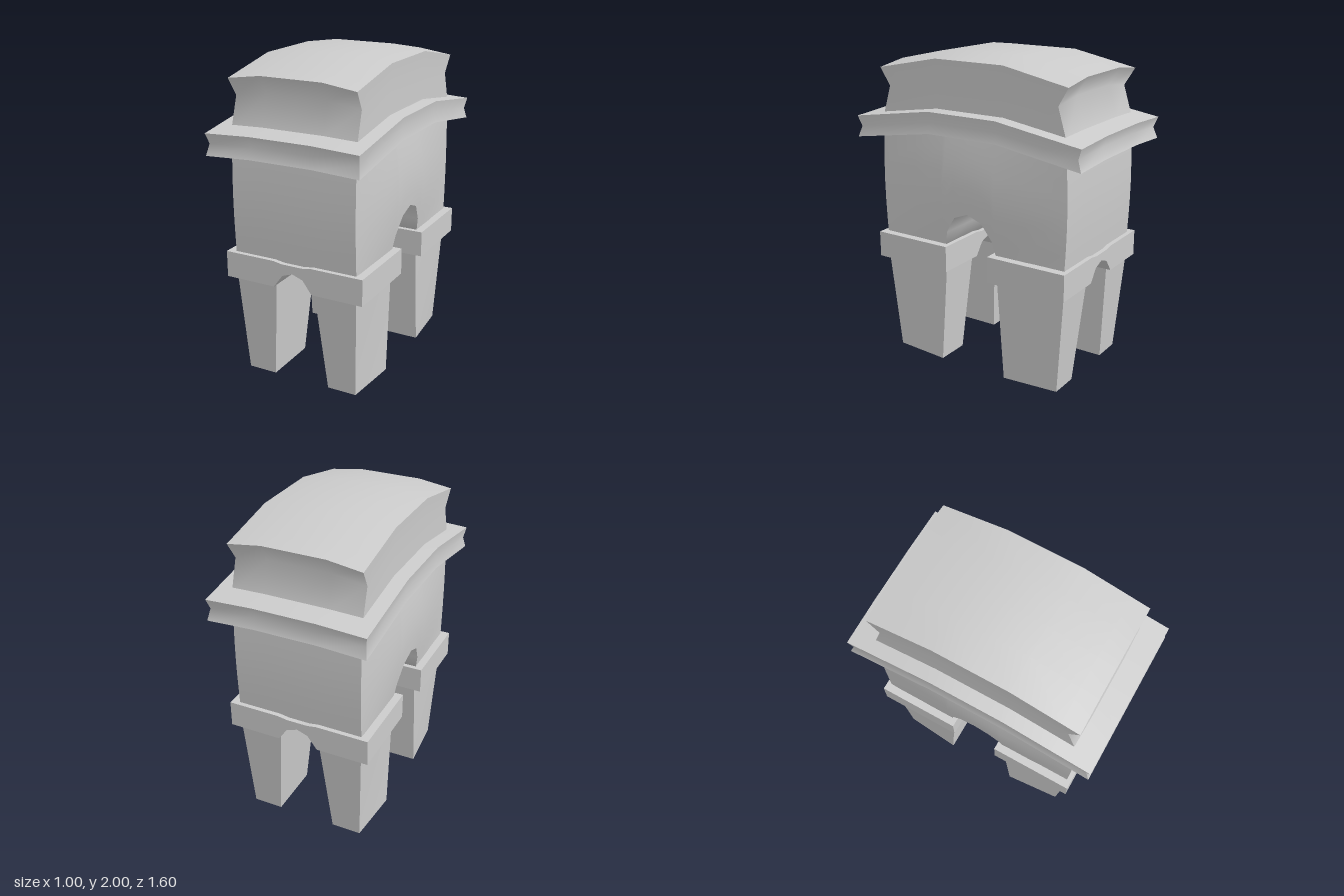
import * as THREE from 'three';

const material = new THREE.MeshStandardMaterial({ color: 0xcccccc });

// Box whose grid corners (i, j, k) are placed by a rule returning [x, y, z];
// faces stay smooth inside, edges between faces stay sharp.
function warpedBox(name, nx, ny, nz, place) {
  const geo = new THREE.BoxGeometry(1, 1, 1, nx, ny, nz);
  const p = geo.attributes.position;
  for (let n = 0; n < p.count; n++) {
    const i = Math.round((p.getX(n) + 0.5) * nx);
    const j = Math.round((p.getY(n) + 0.5) * ny);
    const k = Math.round((p.getZ(n) + 0.5) * nz);
    p.setXYZ(n, ...place(i, j, k));
  }
  geo.computeVertexNormals();
  const mesh = new THREE.Mesh(geo, material);
  mesh.name = name;
  return mesh;
}

// Mirrors a list of positive stations around zero
const mirrored = (list) => [...list.map((v) => -v).reverse(), 0, ...list];

// Height lost towards the edges of the bowed upper storeys
const droop = (x, z, sx, sz) =>
  Math.max(0, Math.abs(x) - 0.2) * sx + Math.max(0, Math.abs(z) - 0.24) * sz;

// Bowed slab with a pinched edge; rows are [y, half width, half depth]
function bowedSlab(name, rows, sx, sz) {
  const xs = mirrored([0.2, 1]);
  const zs = mirrored([0.24, 0.55, 1]);
  return warpedBox(name, xs.length - 1, rows.length - 1, zs.length - 1, (i, j, k) => {
    const [y, hw, hd] = rows[j];
    const x = Math.abs(xs[i]) === 1 ? xs[i] * hw : xs[i];
    const z = Math.abs(zs[k]) === 1 ? zs[k] * hd : zs[k];
    return [x, y - droop(x, z, sx, sz), z];
  });
}

// Tapered leg: outer faces lean in, inner faces widen towards the top
function leg(name, sx, sz) {
  return warpedBox(name, 1, 1, 1, (i, j, k) => {
    const outX = (i === 1) === (sx > 0);
    const outZ = (k === 1) === (sz > 0);
    const top = j === 1;
    const x = outX ? (top || !outZ ? 0.41 : 0.38) : top ? 0.13 : 0.19;
    const z = outZ ? (top ? 0.66 : 0.605) : top ? 0.19 : 0.24;
    return [x * sx, top ? 0.66 : 0, z * sz];
  });
}

// Band across a pair of legs, its underside cut by the small arch
function band(name, sz) {
  const xs = mirrored([0.07, 0.13, 0.3, 0.465]);
  const under = { 0: 0.755, 0.07: 0.73 };
  return warpedBox(name, xs.length - 1, 1, 1, (i, j, k) => {
    const x = xs[i];
    const a = Math.abs(x);
    const outer = (k === 1) === (sz > 0);
    const y = j ? (a < 0.1 ? 0.805 : 0.815) : under[a] ?? 0.648;
    return [x, y, sz * (outer ? 0.69 : 0.155)];
  });
}

// Main block with the large arch as its underside and swelling long sides
function body() {
  const zs = mirrored([0.1, 0.17, 0.19, 0.4, 0.665]);
  const arch = { 0: 1.05, 0.1: 1.01, 0.17: 0.9 };
  const rows = 6;
  return warpedBox('body', 4, rows, zs.length - 1, (i, j, k) => {
    const a = Math.abs(zs[k]);
    const low = arch[a] ?? 0.79;
    const y0 = low + ((1.58 - low) * j) / rows;
    const swell = Math.max(0, Math.sin((Math.PI * (y0 - 0.79)) / 0.79));
    const half = 0.412 + 0.043 * swell * (1 - (a / 0.665) ** 2);
    const x = (i / 2 - 1) * half;
    const z = a === 0.665 ? Math.sign(zs[k]) * (0.66 + 0.013 * swell) : zs[k];
    return [x, y0 - (j / rows) * droop(x, z, 0.05, 0.155), z];
  });
}

export function createModel() {
  const model = new THREE.Group();
  model.name = 'triumphalArch';

  // Legs and bands, mirrored front to back
  for (const sz of [1, -1]) {
    const end = sz > 0 ? 'front' : 'back';
    for (const sx of [1, -1]) model.add(leg(`${end}${sx > 0 ? 'Left' : 'Right'}Leg`, sx, sz));
    model.add(band(`${end}Band`, sz));
  }

  // Upper storeys
  model.add(body());
  model.add(bowedSlab('cornice', [[1.545, 0.5, 0.8], [1.61, 0.488, 0.775], [1.68, 0.5, 0.8]], 0.05, 0.155));
  model.add(bowedSlab('attic', [[1.69, 0.412, 0.66], [1.875, 0.41, 0.6], [2, 0.417, 0.667]], 0.14, 0.2));
  return model;
}
